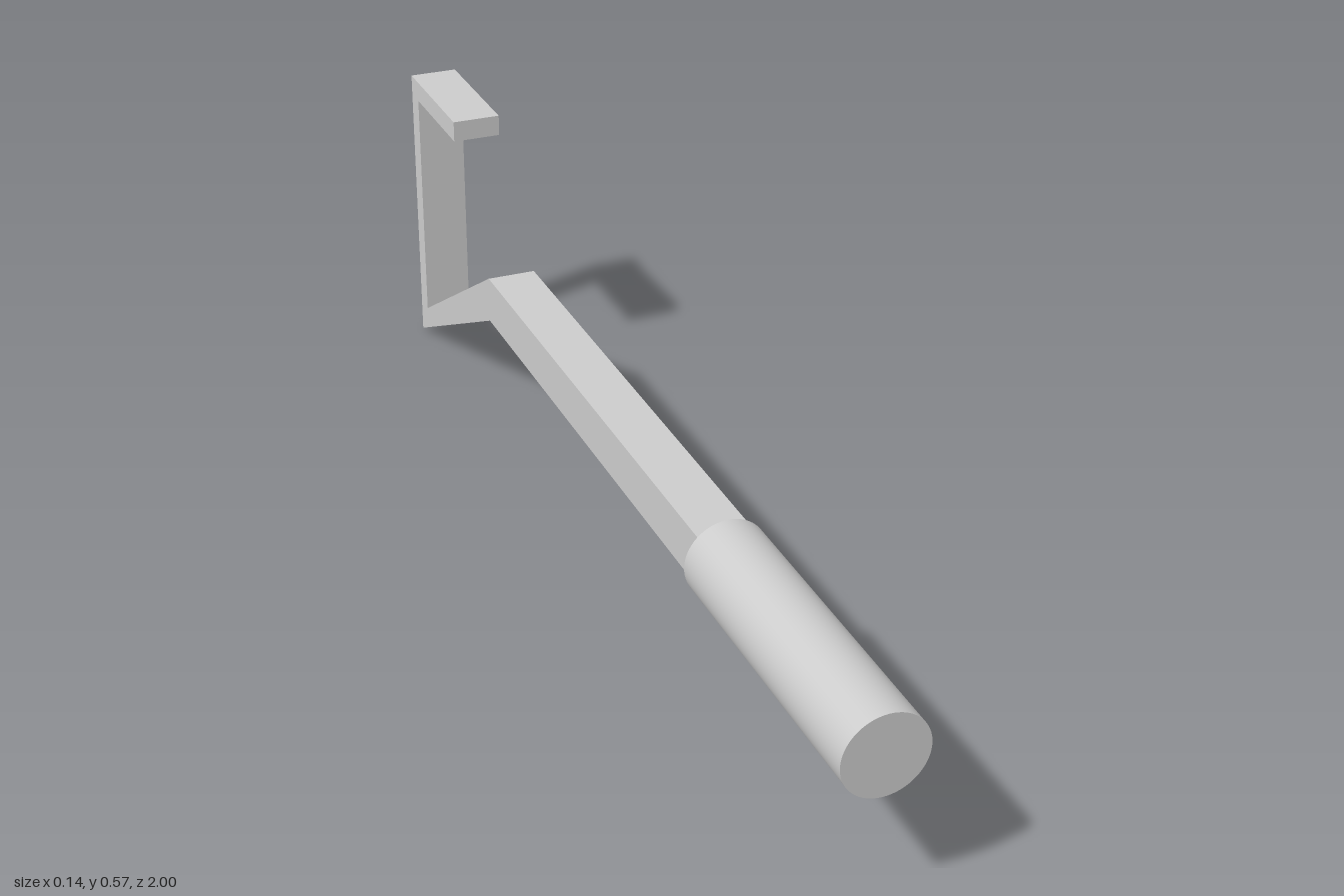
import * as THREE from 'three';

const material = new THREE.MeshStandardMaterial({ color: 0xcccccc });
const W = 0.046; // half width of the bar

function add(group, name, geometry) {
  const mesh = new THREE.Mesh(geometry, material);
  mesh.name = name;
  group.add(mesh);
  return mesh;
}

// Side profile given as [z, y] points, extruded across the bar's width
function sideExtrude(points) {
  const shape = new THREE.Shape(points.map(([z, y]) => new THREE.Vector2(z, y)));
  return new THREE.ExtrudeGeometry(shape, { depth: 2 * W, bevelEnabled: false })
    .translate(0, 0, -W)
    .rotateY(-Math.PI / 2);
}

// Sloping arm whose V groove runs out to a point at the foot of the hook
function armGeometry() {
  const front = [[-W, 0.232], [W, 0.232], [W, 0.322], [0, 0.282], [-W, 0.322]];
  const rear = [[-W, 0.0206], [W, 0.0206], [W, 0.066], [0, 0.066], [-W, 0.066]];
  const F = front.map(([x, y]) => [x, y, -0.545]);
  const R = rear.map(([x, y]) => [x, y, -0.96]);
  const positions = [];
  const tri = (...corners) => corners.forEach((c) => positions.push(...c));
  for (let i = 0; i < 5; i++) {
    const j = (i + 1) % 5;
    if (i === 3) {
      // mirrored diagonal keeps the groove symmetric
      tri(F[i], R[i], F[j]);
      tri(R[i], R[j], F[j]);
    } else {
      tri(F[i], R[i], R[j]);
      tri(F[i], R[j], F[j]);
    }
  }
  const geometry = new THREE.BufferGeometry();
  geometry.setAttribute('position', new THREE.Float32BufferAttribute(positions, 3));
  geometry.computeVertexNormals();
  return geometry;
}

export function createModel() {
  const group = new THREE.Group();
  group.name = 'hookedRod';

  // Round grip
  const grip = add(group, 'grip', new THREE.CylinderGeometry(0.072, 0.072, 0.54, 64).rotateX(Math.PI / 2));
  grip.position.set(0, 0.277, 0.73);

  // Square shaft
  const shaft = add(group, 'shaft', new THREE.BoxGeometry(2 * W, 0.09, 1.025));
  shaft.position.set(0, 0.277, -0.0325);

  // Grooved arm dropping to the hook
  add(group, 'slopingArm', armGeometry());

  // Upright and its forward lip
  add(group, 'hook', sideExtrude([
    [-1, 0], [-0.96, 0.0206], [-0.96, 0.533], [-0.73, 0.533], [-0.73, 0.573], [-1, 0.573],
  ]));

  return group;
}
